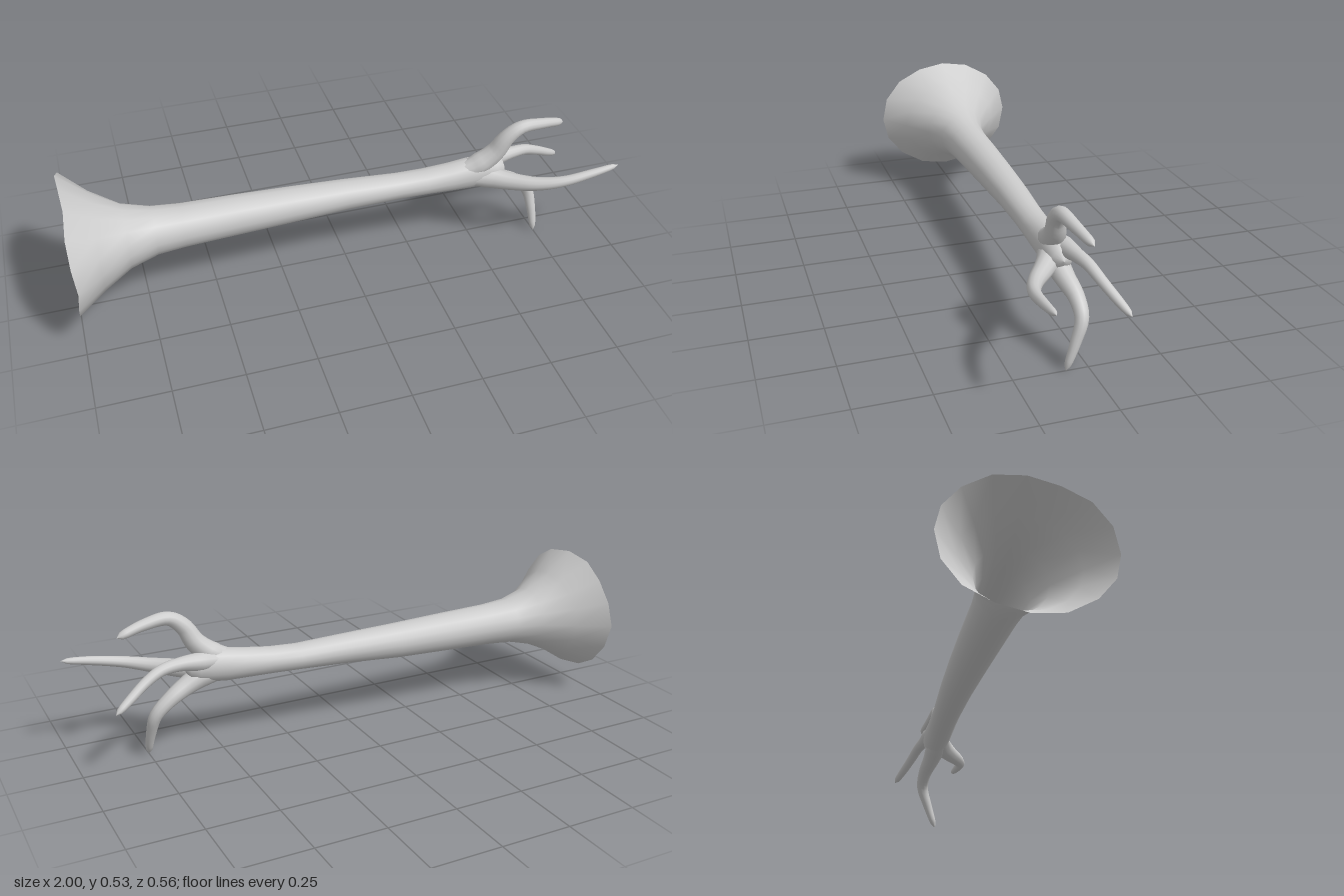
import * as THREE from 'three';

const material = new THREE.MeshStandardMaterial({ color: 0xcccccc, side: THREE.DoubleSide });

// Skins a list of closed rings (arrays of Vector3) with shared vertices
function loft(name, rings) {
  const n = rings[0].length, pos = [], index = [];
  rings.forEach((ring, i) => ring.forEach((p, j) => {
    pos.push(p.x, p.y, p.z);
    if (i === rings.length - 1) return;
    const a = i * n + j, b = i * n + (j + 1) % n;
    index.push(a, b, a + n, b, b + n, a + n);
  }));
  const geometry = new THREE.BufferGeometry();
  geometry.setAttribute('position', new THREE.Float32BufferAttribute(pos, 3));
  geometry.setIndex(index);
  geometry.computeVertexNormals();
  const mesh = new THREE.Mesh(geometry, material);
  mesh.name = name;
  return mesh;
}

// Stem: oval rings along x, [x, centre y, centre z, radius y, radius z]
function stem() {
  const rows = [
    [-1, 0.296, 0, 0.232, 0.278], [-0.9, 0.288, 0, 0.163, 0.195],
    [-0.8, 0.284, 0, 0.112, 0.121], [-0.7, 0.284, -0.002, 0.086, 0.089],
    [-0.6, 0.284, -0.002, 0.078, 0.08], [-0.4, 0.286, -0.002, 0.072, 0.074],
    [-0.2, 0.287, -0.001, 0.065, 0.067], [0, 0.291, 0.004, 0.055, 0.06],
    [0.2, 0.291, 0.012, 0.047, 0.053], [0.3, 0.294, 0.018, 0.048, 0.052],
    [0.4, 0.3, 0.025, 0.054, 0.052], [0.47, 0.306, 0.029, 0.06, 0.053],
    [0.53, 0.311, 0.034, 0.06, 0.051], [0.57, 0.311, 0.036, 0.052, 0.046],
    [0.6, 0.311, 0.036, 0.036, 0.034], [0.615, 0.311, 0.036, 0.001, 0.001],
  ];
  const sides = 16;
  return loft('stem', rows.map(([x, y, z, ry, rz], i) =>
    Array.from({ length: sides }, (_, j) => {
      const a = (j / sides) * Math.PI * 2;
      // the open rim is slightly wavy
      const wave = i === 0 ? 0.006 * (1 + Math.sin(a * 5)) : 0;
      return new THREE.Vector3(x + wave, y + ry * Math.cos(a), z + rz * Math.sin(a));
    })));
}

// Tendril: tapering tube through points [x, y, z, radius] with a rounded tip
function tendril(name, points) {
  const curve = new THREE.CatmullRomCurve3(points.map(p => new THREE.Vector3(p[0], p[1], p[2])));
  const steps = 28, sides = 12, spans = points.length - 1;
  const frames = { t: [], n: [], b: [] };
  const spaced = curve.computeFrenetFrames(steps);
  frames.n = spaced.normals;
  frames.b = spaced.binormals;
  const rings = [];
  for (let i = 0; i <= steps; i++) {
    const u = i / steps, t = curve.getUtoTmapping(u) * spans;
    const k = Math.min(Math.floor(t), spans - 1);
    let r = THREE.MathUtils.lerp(points[k][3], points[k + 1][3], t - k);
    const tip = Math.min(1, (1 - u) * 14);
    r *= Math.sqrt(Math.max(0.0005, 1 - (1 - tip) ** 2));
    const centre = curve.getPointAt(u);
    rings.push(Array.from({ length: sides }, (_, j) => {
      const a = (j / sides) * Math.PI * 2;
      return centre.clone()
        .addScaledVector(frames.n[i], r * Math.cos(a))
        .addScaledVector(frames.b[i], r * Math.sin(a));
    }));
  }
  return loft(name, rings);
}

export function createModel() {
  const group = new THREE.Group();
  group.name = 'branchingTube';
  group.add(
    stem(),
    tendril('upperTendril', [
      [0.43, 0.318, 0.035, 0.03], [0.51, 0.348, 0.04, 0.042], [0.565, 0.395, 0.048, 0.036],
      [0.6, 0.455, 0.058, 0.03], [0.65, 0.492, 0.062, 0.025], [0.74, 0.487, 0.052, 0.02],
      [0.84, 0.464, 0.03, 0.014],
    ]),
    tendril('frontTendril', [
      [0.45, 0.3, 0.035, 0.035], [0.54, 0.292, 0.058, 0.042], [0.6, 0.289, 0.098, 0.034],
      [0.69, 0.296, 0.157, 0.026], [0.78, 0.312, 0.192, 0.02], [0.89, 0.333, 0.203, 0.016],
      [0.995, 0.35, 0.203, 0.01],
    ]),
    tendril('backTendril', [
      [0.46, 0.325, 0.022, 0.028], [0.56, 0.336, 0.014, 0.034], [0.64, 0.343, 0.006, 0.024],
      [0.71, 0.338, -0.008, 0.02], [0.77, 0.312, -0.025, 0.018], [0.83, 0.276, -0.05, 0.016],
      [0.89, 0.24, -0.077, 0.011],
    ]),
    tendril('lowerTendril', [
      [0.44, 0.298, 0.03, 0.035], [0.54, 0.28, 0.036, 0.042], [0.61, 0.252, 0.03, 0.034],
      [0.68, 0.215, 0.017, 0.027], [0.73, 0.168, 0.018, 0.023], [0.745, 0.095, 0.043, 0.018],
      [0.75, 0.002, 0.076, 0.011],
    ]),
  );
  return group;
}
